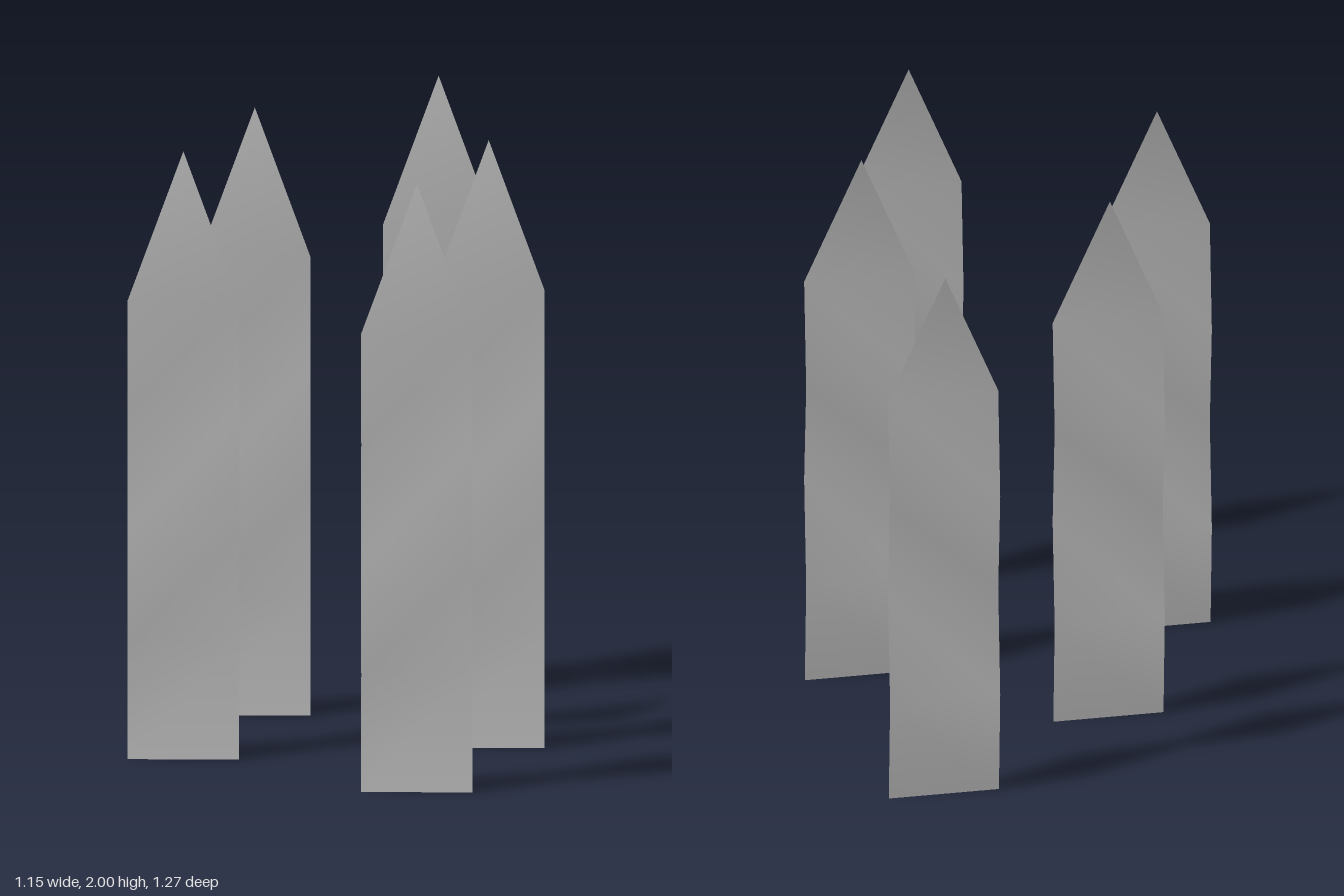
import * as THREE from 'three';

// Rows of one blade from the ground up: [height, half width, forward bend]
const ROWS = [
  [0, 0.176, 0.006],
  [0.38, 0.176, -0.021],
  [0.76, 0.176, 0.021],
  [1.14, 0.176, -0.021],
  [1.52, 0.176, 0.021],
];
const TIP = [0, 2, -0.025];
const TURN = 0.44;

// Root of each blade: [x, z]
const ROOTS = [
  [-0.41, 0.54],
  [0.408, 0.54],
  [-0.41, 0.017],
  [0.408, 0.015],
  [-0.033, -0.54],
];

// A thin wavy strip closed by a pointed tip
function bladeGeometry() {
  const positions = [];
  const index = [];
  ROWS.forEach(([y, half, bend], i) => {
    positions.push(-half, y, bend, half, y, bend);
    const a = i * 2;
    if (i < ROWS.length - 1) index.push(a, a + 1, a + 3, a, a + 3, a + 2);
    else index.push(a, a + 1, a + 2);
  });
  positions.push(...TIP);

  const geometry = new THREE.BufferGeometry();
  geometry.setAttribute('position', new THREE.Float32BufferAttribute(positions, 3));
  geometry.setIndex(index);
  geometry.computeVertexNormals();
  return geometry;
}

export function createModel() {
  const group = new THREE.Group();
  group.name = 'grassBlades';
  const material = new THREE.MeshStandardMaterial({ color: 0xcccccc, side: THREE.DoubleSide });
  const geometry = bladeGeometry();

  // Equal blades, all turned the same way
  ROOTS.forEach(([x, z], i) => {
    const blade = new THREE.Mesh(geometry, material);
    blade.name = `blade${i + 1}`;
    blade.position.set(x, 0, z);
    blade.rotation.y = TURN;
    group.add(blade);
  });
  return group;
}
